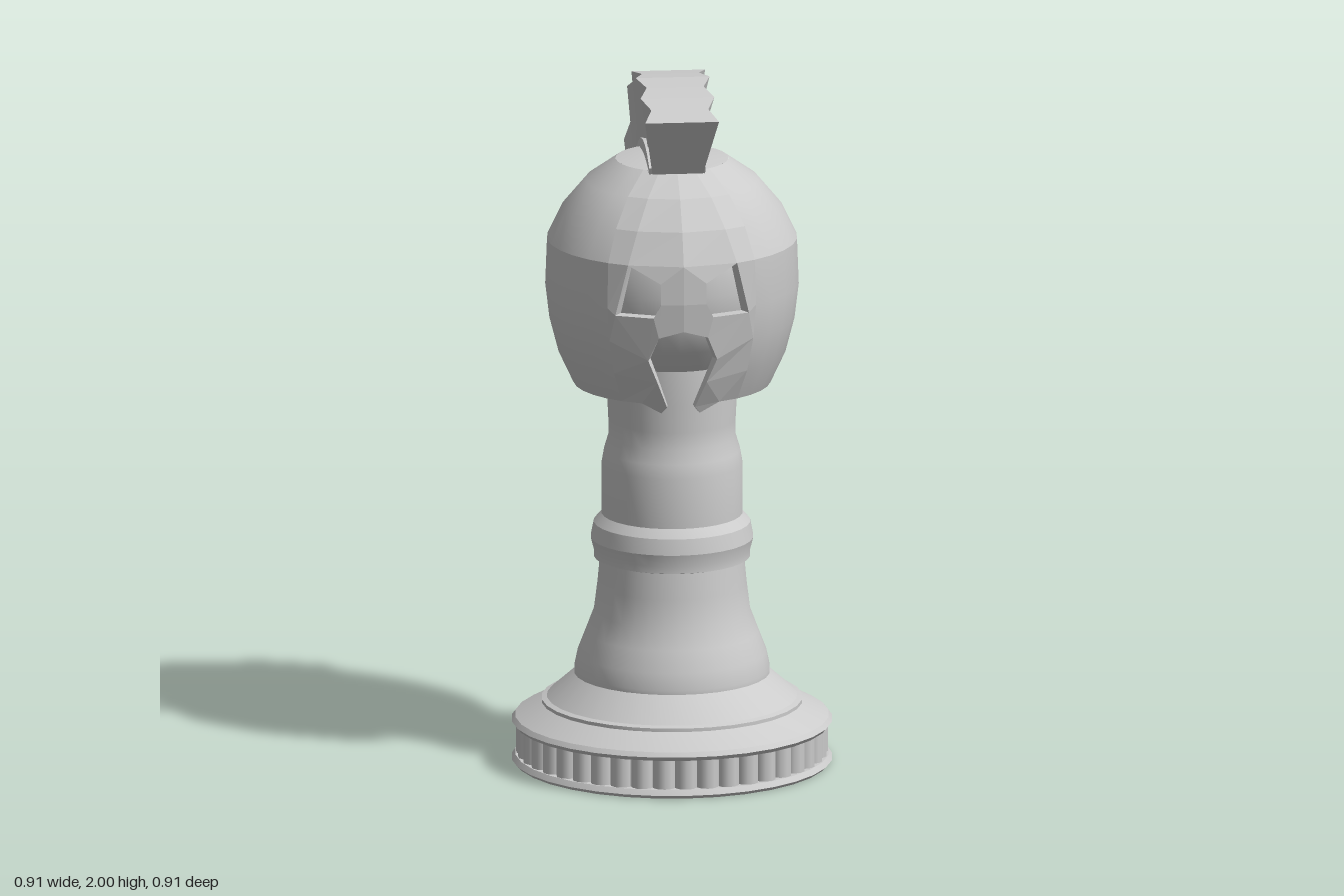
import * as THREE from 'three';
import { toCreasedNormals } from 'three/addons/utils/BufferGeometryUtils.js';

const smooth = new THREE.MeshStandardMaterial({ color: 0xcccccc });
const flat = new THREE.MeshStandardMaterial({ color: 0xcccccc, flatShading: true });
const V = (x, y, z) => new THREE.Vector3(x, y, z);

function addMesh(group, name, geometry, material = smooth) {
  const mesh = new THREE.Mesh(geometry, material);
  mesh.name = name;
  group.add(mesh);
  return mesh;
}

function lathe(profile, segments = 32, start = 0, length = Math.PI * 2) {
  const points = profile.map(([r, y]) => new THREE.Vector2(r, y));
  return toCreasedNormals(new THREE.LatheGeometry(points, segments, start, length), 0.38);
}

// Flat-faced geometry from convex polygons of Vector3
function fromPolygons(polygons) {
  const points = [];
  for (const p of polygons) {
    for (let i = 1; i < p.length - 1; i++) points.push(p[0], p[i], p[i + 1]);
  }
  const geometry = new THREE.BufferGeometry().setFromPoints(points);
  geometry.computeVertexNormals();
  return geometry;
}

// Joins four-cornered sections into a closed solid
function loft(sections) {
  const polygons = [sections[0], [...sections.at(-1)].reverse()];
  for (let i = 0; i < sections.length - 1; i++) {
    const s = sections[i], t = sections[i + 1];
    for (let j = 0; j < 4; j++) {
      const k = (j + 1) % 4;
      polygons.push([s[j], t[j], t[k], s[k]]);
    }
  }
  return fromPolygons(polygons);
}

// Helmet outline as [radius, y], bottom to top
const HELMET = [[0.28, 1.11], [0.322, 1.2], [0.348, 1.3], [0.36, 1.4], [0.355, 1.53],
  [0.312, 1.62], [0.245, 1.7], [0.16, 1.76]];
const OPEN = THREE.MathUtils.degToRad(36);
const INNER = 0.9;

function helmetRadius(y) {
  let i = 0;
  while (i < HELMET.length - 2 && y > HELMET[i + 1][1]) i++;
  const [r0, y0] = HELMET[i], [r1, y1] = HELMET[i + 1];
  return r0 + (r1 - r0) * (y - y0) / (y1 - y0);
}

// Faceted face plate with eye and mouth openings: one half, then mirrored
function maskGeometry() {
  const xy = {
    c0: [0, 1.76], c1: [0, 1.7], c2: [0, 1.62], c3: [0, 1.53], c4: [0, 1.42], nose: [0, 1.34],
    m0: [0.05, 1.76], m1: [0.09, 1.7], m2: [0.125, 1.62],
    e1: [0.155, 1.53], e2: [0.065, 1.48], e3: [0.065, 1.42], e4: [0.085, 1.38], e5: [0.19, 1.38],
    n1: [0.07, 1.32], n2: [0.098, 1.25], n3: [0.07, 1.18], n4: [0.04, 1.1],
    tip: [0.055, 1.08], q: [0.11, 1.11],
  };
  HELMET.forEach(([r, y], i) => { xy['b' + i] = [r * Math.sin(OPEN), y]; });
  const panels = [
    'c0 m0 m1 c1', 'c1 m1 m2 c2', 'c2 m2 e1 c3',
    'm0 b7 b6 m1', 'm1 b6 b5 m2', 'm2 b5 b4 e1',
    'c3 e1 e2', 'c3 e2 e3 c4', 'c4 e3 n1 nose', 'e3 e4 n1',
    'e1 b4 b3 e5', 'e4 e5 n2 n1', 'e5 b3 b2', 'e5 b2 n2',
    'n2 b2 b1 n3', 'n3 b1 b0 q', 'n3 q tip n4',
  ].map((s) => s.split(' '));

  const outer = (n) => {
    const [x, y] = xy[n];
    return V(x, y, Math.sqrt(helmetRadius(y) ** 2 - x * x));
  };
  const inner = (n) => outer(n).multiply(V(INNER, 1, INNER));
  const edges = new Set();
  const polygons = [];
  for (const names of panels) {
    const area = names.reduce((sum, n, i) => {
      const [ax, ay] = xy[n], [bx, by] = xy[names[(i + 1) % names.length]];
      return sum + ax * by - bx * ay;
    }, 0);
    if (area < 0) names.reverse();
    polygons.push(names.map(outer), names.map(inner).reverse());
    names.forEach((n, i) => edges.add(n + ' ' + names[(i + 1) % names.length]));
  }
  // Walls through the thickness along every open edge
  for (const edge of edges) {
    const [a, b] = edge.split(' ');
    if (edges.has(b + ' ' + a) || (xy[a][0] === 0 && xy[b][0] === 0)) continue;
    polygons.push([outer(a), inner(a), inner(b), outer(b)]);
  }
  const mirrored = polygons.map((p) => p.map((v) => V(-v.x, v.y, v.z)).reverse());
  return fromPolygons([...polygons, ...mirrored]);
}

// Point on the arc that the crest follows over the helmet
function arcPoint(t, radius, x) {
  const a = THREE.MathUtils.degToRad(28 - 135 * t);
  return V(x, 1.43 + radius * Math.cos(a), radius * Math.sin(a));
}

export function createModel() {
  const model = new THREE.Group();

  // Foot: two rims with a ring of rounded flutes between them
  const base = new THREE.Group();
  base.name = 'base';
  model.add(base);
  addMesh(base, 'baseBody', lathe([[0, 0], [0.445, 0], [0.455, 0.01], [0.445, 0.025], [0.42, 0.025],
    [0.42, 0.11], [0.445, 0.11], [0.455, 0.122], [0.445, 0.135], [0.37, 0.175], [0.37, 0.185],
    [0.355, 0.19], [0.27, 0.265], [0, 0.265]]));
  const flute = new THREE.CylinderGeometry(0.033, 0.033, 0.09, 10);
  const flutes = 42;
  for (let i = 0; i < flutes; i++) {
    const a = i / flutes * Math.PI * 2;
    addMesh(base, 'flute', flute).position.set(0.409 * Math.sin(a), 0.068, 0.409 * Math.cos(a));
  }

  // Turned stem, collar, neck and the rounded head inside the helmet
  addMesh(model, 'stem', lathe([[0.278, 0.26], [0.278, 0.272], [0.268, 0.32], [0.245, 0.38], [0.222, 0.44],
    [0.212, 0.52], [0.205, 0.595], [0.222, 0.6], [0.222, 0.62], [0.231, 0.655], [0.222, 0.7],
    [0.2, 0.725], [0.2, 0.87], [0.193, 0.91], [0.181, 0.95], [0.181, 1.0], [0.185, 1.08], [0.185, 1.18],
    [0.245, 1.25], [0.28, 1.32], [0.295, 1.42], [0.285, 1.52], [0.24, 1.61], [0.15, 1.69], [0, 1.72]]));

  // Helmet shell, open at the front for the face plate
  const helmet = new THREE.Group();
  helmet.name = 'helmet';
  model.add(helmet);
  const inside = HELMET.map(([r, y]) => [r * INNER, y]).reverse();
  addMesh(helmet, 'helmetShell', lathe([...inside, ...HELMET], 26, OPEN, Math.PI * 2 - 2 * OPEN));
  addMesh(helmet, 'helmetCap', lathe([[0.14, 1.745], [0.16, 1.76], [0, 1.785]]));
  addMesh(helmet, 'facePlate', maskGeometry(), flat);

  // Pleated crest: wide and narrow sections alternate from front to back
  const crown = [[0.305, 1.94], [0.235, 1.96], [0.165, 1.977], [0.095, 1.99], [0.02, 2], [-0.045, 1.995],
    [-0.11, 1.987], [-0.18, 1.95], [-0.24, 1.91], [-0.29, 1.82], [-0.335, 1.73], [-0.37, 1.61], [-0.405, 1.49]];
  const crest = crown.map(([z, y], i) => {
    const pleat = i % 2 ? -0.024 : 0;
    const top = 0.105 + pleat, low = 0.072 + pleat * 0.6;
    const foot = arcPoint(i / 12, 0.37, 0);
    return [V(low, foot.y, foot.z), V(top, y, z), V(-top, y, z), V(-low, foot.y, foot.z)];
  });
  addMesh(model, 'crest', loft(crest), flat);

  // Narrow strip that seats the crest on the helmet
  const strip = crown.map((_, i) => {
    const t = 0.02 + i / 12 * 0.9;
    return [arcPoint(t, 0.335, 0.08), arcPoint(t, 0.378, 0.08), arcPoint(t, 0.378, -0.08), arcPoint(t, 0.335, -0.08)];
  });
  addMesh(model, 'crestStrip', loft(strip), flat);

  return model;
}
